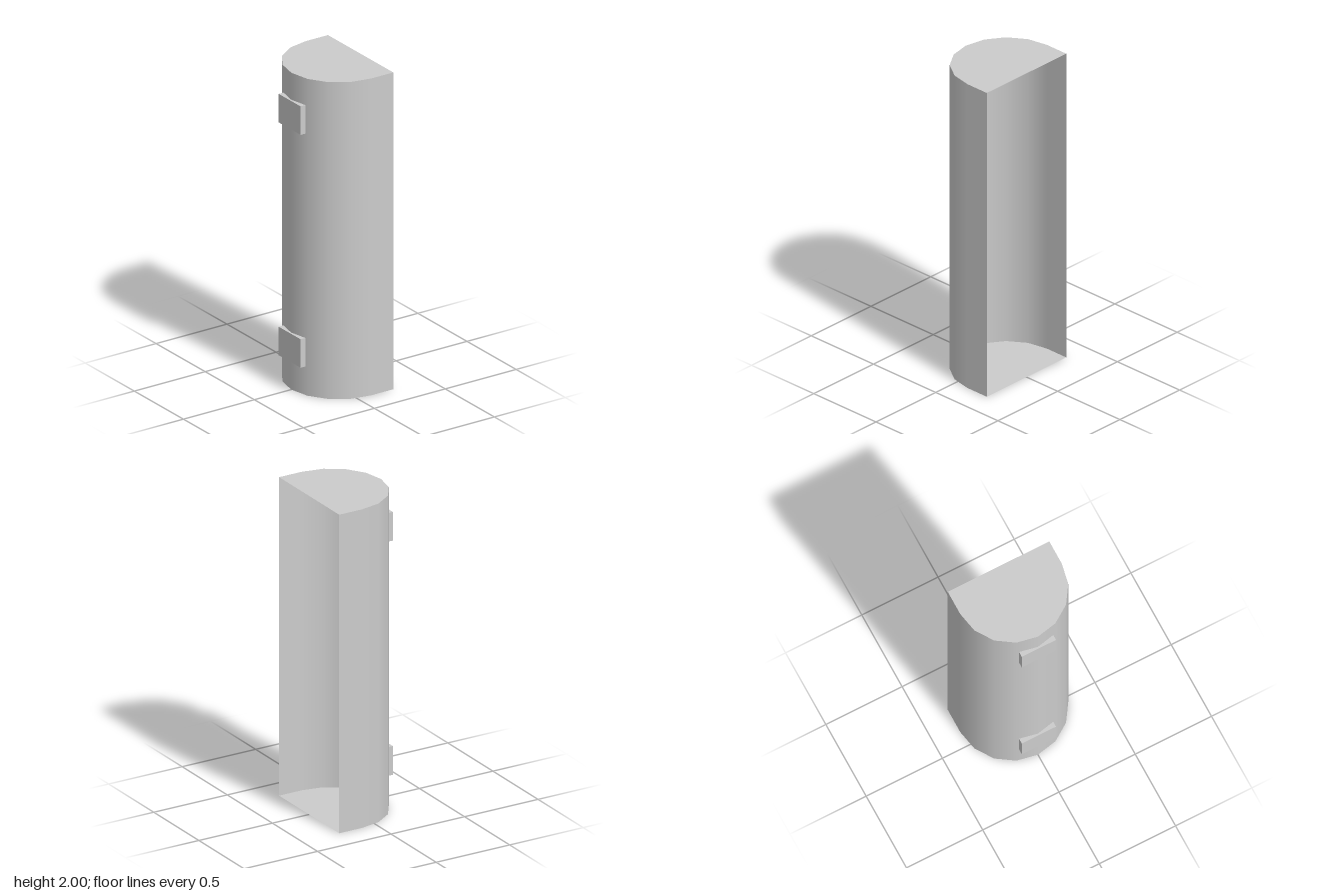
import * as THREE from 'three';

const H = 2, R = 0.333, CX = 0.094, OPEN_X = 0.25, SIDES = 8;

// Outline of the trough as [x, z], from the back edge round to the front edge
function outline() {
  const pts = [[OPEN_X, -R]];
  for (let i = 0; i <= SIDES; i++) {
    const a = (i / SIDES) * Math.PI;
    pts.push([CX - R * Math.sin(a), -R * Math.cos(a)]);
  }
  pts.push([OPEN_X, R]);
  return pts;
}

// Smooth open sheet following the outline from bottom to top
function wallGeometry(pts) {
  const pos = [], normal = [], index = [];
  pts.forEach(([x, z], i) => {
    const nx = Math.min(x - CX, 0), len = Math.hypot(nx, z);
    for (const y of [0, H]) {
      pos.push(x, y, z);
      normal.push(nx / len, 0, z / len);
    }
    if (i > 0) {
      const a = (i - 1) * 2, b = i * 2;
      index.push(a, b, a + 1, b, b + 1, a + 1);
    }
  });
  const g = new THREE.BufferGeometry();
  g.setAttribute('position', new THREE.Float32BufferAttribute(pos, 3));
  g.setAttribute('normal', new THREE.Float32BufferAttribute(normal, 3));
  g.setIndex(index);
  return g;
}

// Shape drawn in plan; after rotateX(-90 deg) its y becomes -z
const planShape = pts => new THREE.Shape(pts.map(([x, z]) => new THREE.Vector2(x, -z)));

export function createModel() {
  const group = new THREE.Group();
  const grey = new THREE.MeshStandardMaterial({ color: 0xcccccc, side: THREE.DoubleSide });
  grey.name = 'light grey';

  const add = (name, geometry, y = 0) => {
    const mesh = new THREE.Mesh(geometry, grey);
    mesh.name = name;
    mesh.position.y = y;
    group.add(mesh);
  };

  const pts = outline();
  add('curvedWall', wallGeometry(pts));

  // End caps, each facing outwards
  add('topCap', new THREE.ShapeGeometry(planShape(pts)).rotateX(-Math.PI / 2), H);
  const mirrored = pts.map(([x, z]) => [x, -z]);
  add('bottomCap', new THREE.ShapeGeometry(planShape(mirrored)).rotateX(Math.PI / 2));

  // Mounting pads, with a back that follows the wall
  const pad = planShape([[-0.251, -0.112], [-0.251, 0.112], [-0.217, 0.112], [-0.24, 0], [-0.217, -0.112]]);
  for (const [name, y] of [['lowerPad', 0.18], ['upperPad', 1.65]]) {
    const g = new THREE.ExtrudeGeometry(pad, { depth: 0.18, bevelEnabled: false });
    add(name, g.rotateX(-Math.PI / 2), y);
  }
  return group;
}
